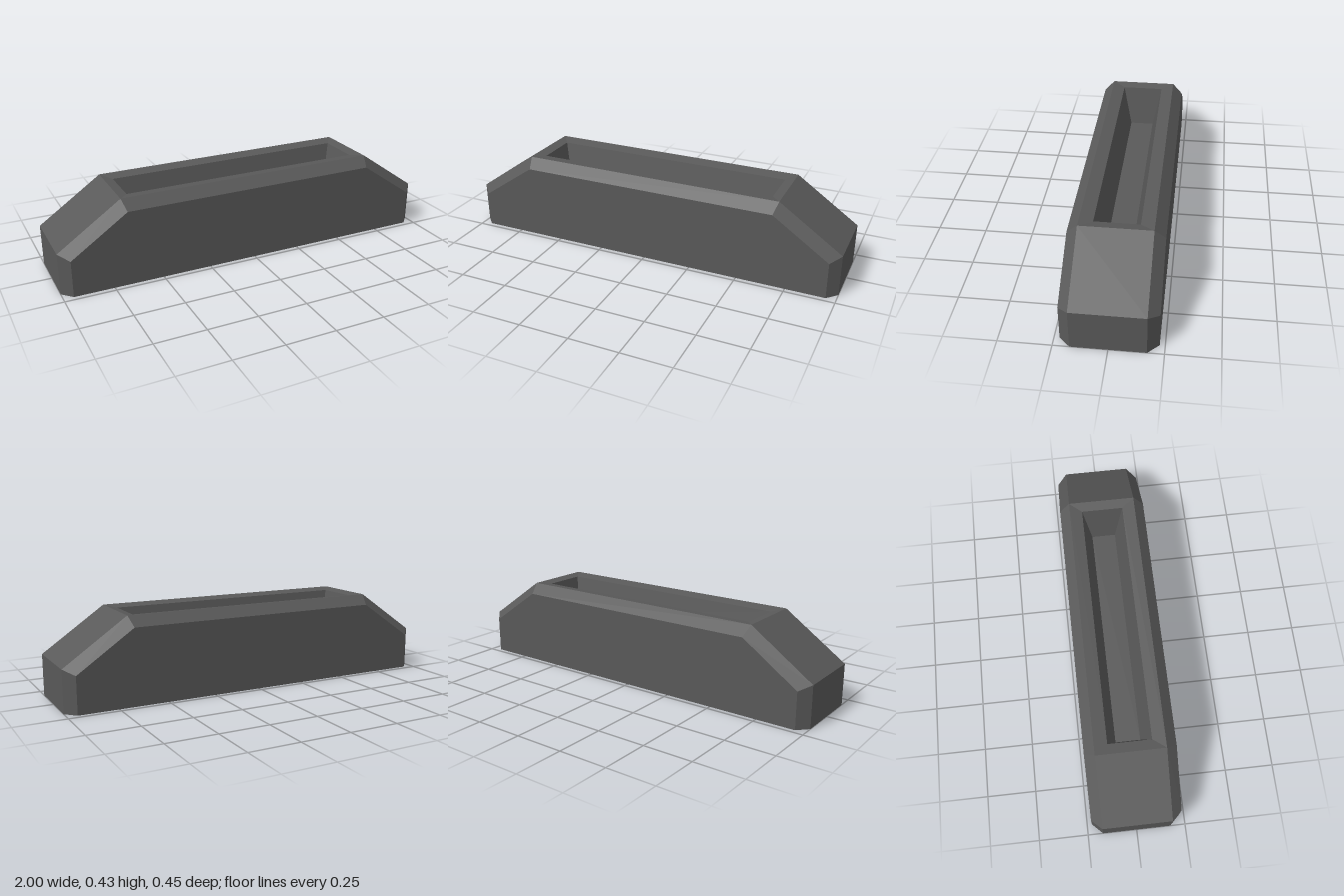
import * as THREE from 'three';

// Flat-shaded geometry from quads, each listed counter-clockwise as seen from outside
function quadGeometry(quads) {
  const positions = [];
  for (const [a, b, c, d] of quads) positions.push(...a, ...b, ...c, ...a, ...c, ...d);
  const geometry = new THREE.BufferGeometry();
  geometry.setAttribute('position', new THREE.Float32BufferAttribute(positions, 3));
  geometry.computeVertexNormals();
  return geometry;
}

// Joins two open rows of points, leaving out segment `skip`
function bridge(a, b, skip = -1) {
  const quads = [];
  for (let i = 0; i < a.length - 1; i++) {
    if (i !== skip) quads.push([a[i], a[i + 1], b[i + 1], b[i]]);
  }
  return quads;
}

// Closed horizontal rectangle, counter-clockwise from above
function rectangle(x, y, z) {
  return [[-x, y, z], [x, y, z], [x, y, -z], [-x, y, -z], [-x, y, z]];
}

export function createModel() {
  const group = new THREE.Group();
  const charcoal = new THREE.MeshStandardMaterial({ color: 0x595959 });
  charcoal.name = 'charcoal';
  charcoal.side = THREE.DoubleSide;
  charcoal.flatShading = true;

  const add = (name, geometry) => {
    const mesh = new THREE.Mesh(geometry, charcoal);
    mesh.name = name;
    group.add(mesh);
    return mesh;
  };

  // Half profiles mirrored to run left to right over the top
  const mirror = (half) => [...half, ...half.map(([x, y]) => [-x, y]).reverse()];
  const spine = mirror([[-1, 0], [-1, 0.21], [-0.68, 0.43]]);
  const panel = mirror([[-0.95, 0], [-0.95, 0.185], [-0.665, 0.38]]);
  const at = (profile, z) => profile.map(([x, y]) => [x, y, z]);
  const spineZ = 0.173, panelZ = 0.225;

  // End faces and slopes; the top is left for the rim, the bottom is open
  add('endsAndSlopes', quadGeometry(bridge(at(spine, spineZ), at(spine, -spineZ), 2)));

  // Chamfers round the front and back
  add('frontChamfer', quadGeometry(bridge(at(panel, panelZ), at(spine, spineZ))));
  add('backChamfer', quadGeometry(bridge(at(spine, -spineZ), at(panel, -panelZ))));

  // Flat side panels
  const shape = new THREE.Shape(panel.map(([x, y]) => new THREE.Vector2(x, y)));
  add('frontPanel', new THREE.ShapeGeometry(shape)).position.z = panelZ;
  const back = add('backPanel', new THREE.ShapeGeometry(shape));
  back.rotation.y = Math.PI;
  back.position.z = -panelZ;

  // Top rim, dipping slightly towards the tapered recess
  const edge = rectangle(0.68, 0.43, spineZ);
  const mouth = rectangle(0.63, 0.42, 0.108);
  const base = rectangle(0.583, 0.21, 0.063);
  add('topRim', quadGeometry(bridge(edge, mouth)));
  add('recessWalls', quadGeometry(bridge(mouth, base)));
  add('recessFloor', quadGeometry([base.slice(0, 4)]));

  return group;
}
